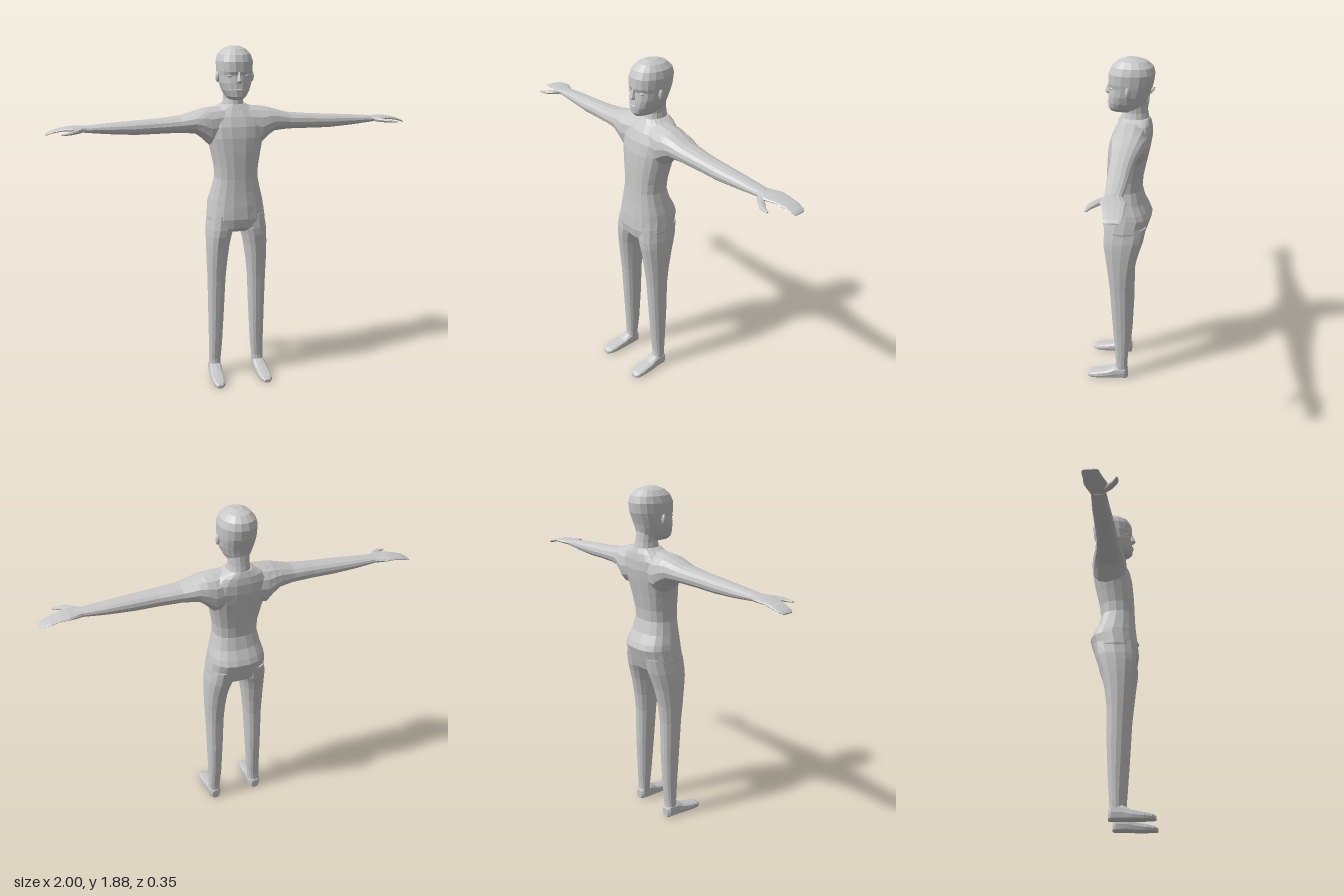
import * as THREE from 'three';

const skin = new THREE.MeshStandardMaterial({ color: 0xc8c8c8, flatShading: true });
skin.name = 'plain grey';

// Loft of superelliptic rings. Each row: [axis position, u centre, u radius, v min, v max].
// place(a, u, v) puts a ring point in space; side = -1 mirrors the part across x = 0.
function loft(name, rows, place, { sides = 16, round = 0.85, side = 1 } = {}) {
  const pos = [], index = [];
  const put = (a, u, v) => {
    const [x, y, z] = place(a, u, v);
    pos.push(x * side, y, z);
  };
  const power = (k) => Math.sign(k) * Math.abs(k) ** round;
  for (const [a, c, r, v0, v1] of rows) {
    for (let i = 0; i < sides; i++) {
      const t = (i / sides) * Math.PI * 2;
      put(a, c + r * power(Math.cos(t)), (v0 + v1) / 2 + ((v1 - v0) / 2) * power(Math.sin(t)));
    }
  }
  const tri = (a, b, c) => (side > 0 ? index.push(a, b, c) : index.push(a, c, b));
  for (let j = 0; j < rows.length - 1; j++) {
    for (let i = 0; i < sides; i++) {
      const a = j * sides + i, b = j * sides + ((i + 1) % sides);
      tri(a, a + sides, b);
      tri(b, a + sides, b + sides);
    }
  }
  // end caps
  const first = rows[0], last = rows[rows.length - 1];
  const start = pos.length / 3, top = (rows.length - 1) * sides;
  for (const [a, c, , v0, v1] of [first, last]) put(a, c, (v0 + v1) / 2);
  for (let i = 0; i < sides; i++) {
    const n = (i + 1) % sides;
    tri(start, i, n);
    tri(start + 1, top + n, top + i);
  }
  const geo = new THREE.BufferGeometry();
  geo.setAttribute('position', new THREE.Float32BufferAttribute(pos, 3));
  geo.setIndex(index);
  geo.computeVertexNormals();
  const mesh = new THREE.Mesh(geo, skin);
  mesh.name = name;
  return mesh;
}

const alongY = (a, u, v) => [u, a, v];
const alongX = (a, u, v) => [a, v, u];
const alongZ = (a, u, v) => [v, u, a];

function blob(name, x, y, z, sx, sy, sz) {
  const mesh = new THREE.Mesh(new THREE.SphereGeometry(1, 10, 6), skin);
  mesh.name = name;
  mesh.position.set(x, y, z);
  mesh.scale.set(sx, sy, sz);
  return mesh;
}

function createHead() {
  const head = new THREE.Group();
  head.name = 'head';
  head.add(loft('skull', [
    [1.602, 0, 0.036, -0.12, 0.048],
    [1.62, 0, 0.055, -0.13, 0.064],
    [1.65, 0, 0.072, -0.135, 0.066],
    [1.69, 0, 0.086, -0.145, 0.062],
    [1.73, 0, 0.092, -0.16, 0.056],
    [1.75, 0, 0.094, -0.168, 0.064],
    [1.80, 0, 0.096, -0.175, 0.062],
    [1.835, 0, 0.085, -0.165, 0.046],
    [1.862, 0, 0.06, -0.135, 0.015],
    [1.877, 0, 0.026, -0.09, -0.025],
  ], alongY, { sides: 18, round: 0.88 }));
  // nose: widening wedge from the bridge to the tip
  head.add(loft('nose', [
    [1.69, 0, 0.012, 0.045, 0.068],
    [1.702, 0, 0.016, 0.045, 0.083],
    [1.725, 0, 0.01, 0.045, 0.074],
    [1.75, 0, 0.007, 0.045, 0.064],
  ], alongY, { sides: 8, round: 1 }));
  head.add(blob('lips', 0, 1.655, 0.062, 0.026, 0.007, 0.008));
  for (const s of [-1, 1]) {
    head.add(blob('eye', s * 0.043, 1.728, 0.04, 0.017, 0.009, 0.011));
    head.add(blob('ear', s * 0.094, 1.718, -0.042, 0.012, 0.028, 0.014));
  }
  return head;
}

function createArm(side) {
  const arm = new THREE.Group();
  arm.name = side > 0 ? 'leftArm' : 'rightArm';
  arm.add(loft('sleeve', [
    [0.06, -0.06, 0.09, 1.36, 1.565],
    [0.14, -0.06, 0.098, 1.35, 1.558],
    [0.18, -0.058, 0.093, 1.39, 1.552],
    [0.22, -0.056, 0.085, 1.42, 1.54],
    [0.30, -0.052, 0.07, 1.428, 1.518],
    [0.42, -0.05, 0.057, 1.427, 1.507],
    [0.54, -0.05, 0.053, 1.426, 1.5],
    [0.68, -0.054, 0.046, 1.435, 1.491],
    [0.80, -0.054, 0.038, 1.447, 1.482],
  ], alongX, { side, sides: 14, round: 0.9 }));
  arm.add(loft('hand', [
    [0.79, -0.054, 0.038, 1.448, 1.482],
    [0.83, -0.055, 0.054, 1.452, 1.481],
    [0.86, -0.062, 0.058, 1.458, 1.481],
    [0.90, -0.068, 0.05, 1.459, 1.477],
    [0.95, -0.074, 0.044, 1.451, 1.467],
    [0.985, -0.073, 0.04, 1.442, 1.454],
    [1.0, -0.073, 0.03, 1.438, 1.444],
  ], alongX, { side, sides: 12 }));
  arm.add(loft('thumb', [
    [0.80, -0.03, 0.012, 1.454, 1.474],
    [0.83, -0.005, 0.025, 1.45, 1.474],
    [0.865, 0.024, 0.022, 1.449, 1.468],
    [0.89, 0.038, 0.014, 1.449, 1.463],
    [0.92, 0.046, 0.005, 1.45, 1.457],
  ], alongX, { side, sides: 8 }));
  return arm;
}

function createLeg(side) {
  const leg = new THREE.Group();
  leg.name = side > 0 ? 'leftLeg' : 'rightLeg';
  leg.add(loft('trouserLeg', [
    [0.04, 0.13, 0.032, -0.052, 0.02],
    [0.10, 0.128, 0.034, -0.052, 0.014],
    [0.20, 0.123, 0.038, -0.06, 0.022],
    [0.40, 0.119, 0.044, -0.069, 0.037],
    [0.60, 0.116, 0.05, -0.071, 0.05],
    [0.70, 0.113, 0.056, -0.083, 0.062],
    [0.80, 0.107, 0.063, -0.104, 0.075],
    [0.86, 0.1, 0.069, -0.122, 0.084],
    [0.90, 0.092, 0.075, -0.135, 0.086],
    [0.98, 0.085, 0.07, -0.15, 0.08],
  ], alongY, { side, sides: 14 }));
  // shoe with a flat sole
  leg.add(loft('foot', [
    [-0.056, 0.03, 0.028, 0.108, 0.152],
    [-0.04, 0.04, 0.04, 0.096, 0.165],
    [0.02, 0.038, 0.038, 0.094, 0.168],
    [0.06, 0.028, 0.028, 0.096, 0.173],
    [0.12, 0.021, 0.021, 0.098, 0.175],
    [0.16, 0.016, 0.016, 0.105, 0.17],
    [0.18, 0.011, 0.01, 0.122, 0.155],
  ], alongZ, { side, sides: 12, round: 0.65 }));
  return leg;
}

export function createModel() {
  const model = new THREE.Group();
  model.name = 'standingFigure';
  model.add(loft('torso', [
    [0.885, 0, 0.11, -0.10, 0.06],
    [0.91, 0, 0.155, -0.135, 0.088],
    [0.96, 0, 0.162, -0.152, 0.096],
    [1.03, 0, 0.153, -0.174, 0.09],
    [1.06, 0, 0.148, -0.162, 0.086],
    [1.11, 0, 0.134, -0.135, 0.08],
    [1.18, 0, 0.118, -0.117, 0.075],
    [1.24, 0, 0.121, -0.122, 0.073],
    [1.32, 0, 0.137, -0.138, 0.07],
    [1.40, 0, 0.155, -0.156, 0.064],
    [1.46, 0, 0.165, -0.166, 0.052],
    [1.51, 0, 0.158, -0.166, 0.03],
    [1.545, 0, 0.12, -0.16, 0.006],
    [1.572, 0, 0.065, -0.15, -0.012],
  ], alongY, { sides: 18, round: 0.8 }));
  model.add(loft('neck', [
    [1.53, 0, 0.066, -0.152, -0.005],
    [1.575, 0, 0.058, -0.147, -0.018],
    [1.60, 0, 0.053, -0.142, -0.024],
    [1.66, 0, 0.055, -0.135, -0.02],
  ], alongY, { sides: 14, round: 0.95 }));
  model.add(createHead());
  for (const side of [1, -1]) model.add(createArm(side), createLeg(side));
  return model;
}
